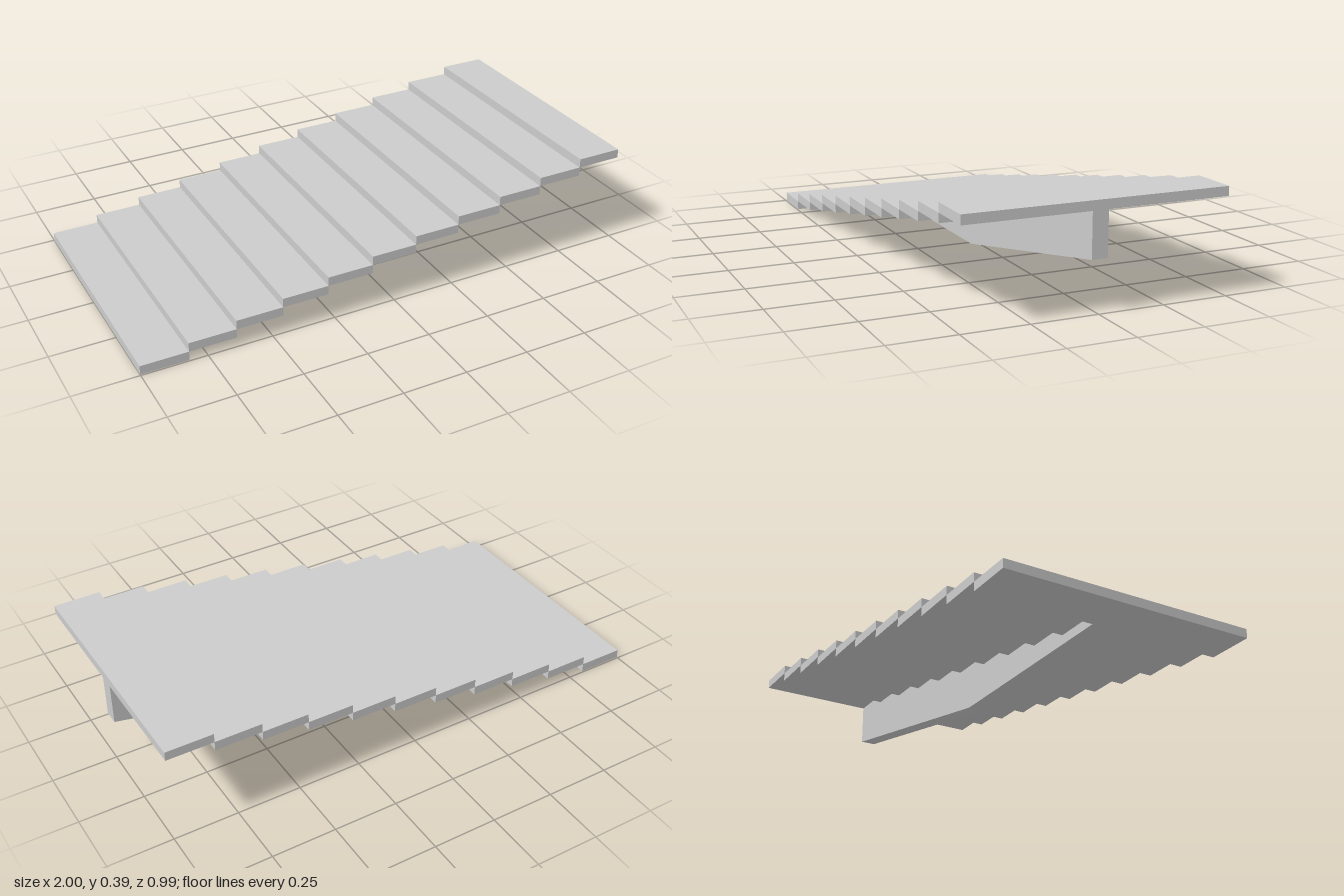
import * as THREE from 'three';

const STEPS = 11;
const GOING = 2 / STEPS;
const RISE = 0.39 / STEPS;
const DEPTH = 0.99;
const BEAM = 0.06;

export function createModel() {
  const group = new THREE.Group();
  group.name = 'staircase';
  const material = new THREE.MeshStandardMaterial({ color: 0xcccccc, flatShading: true });

  // Treads: wide slabs, each sitting one rise above the last
  const treadGeometry = new THREE.BoxGeometry(GOING, RISE, DEPTH);
  for (let i = 0; i < STEPS; i++) {
    const tread = new THREE.Mesh(treadGeometry, material);
    tread.name = `tread${i + 1}`;
    tread.position.set(-1 + (i + 0.5) * GOING, (i + 0.5) * RISE, 0);
    group.add(tread);
  }

  // Central stringer: flat foot, sloping underside, sawtooth top under the treads
  const profile = new THREE.Shape();
  profile.moveTo(-1 + GOING, 0);
  profile.lineTo(0.02, 0);
  profile.lineTo(1, 0.19);
  for (let i = STEPS - 1; i >= 1; i--) {
    profile.lineTo(-1 + (i + 1) * GOING, i * RISE);
    profile.lineTo(-1 + i * GOING, i * RISE);
  }
  const stringerGeometry = new THREE.ExtrudeGeometry(profile, { depth: BEAM, bevelEnabled: false });
  stringerGeometry.translate(0, 0, -BEAM / 2);
  const stringer = new THREE.Mesh(stringerGeometry, material);
  stringer.name = 'centralStringer';
  group.add(stringer);

  return group;
}
